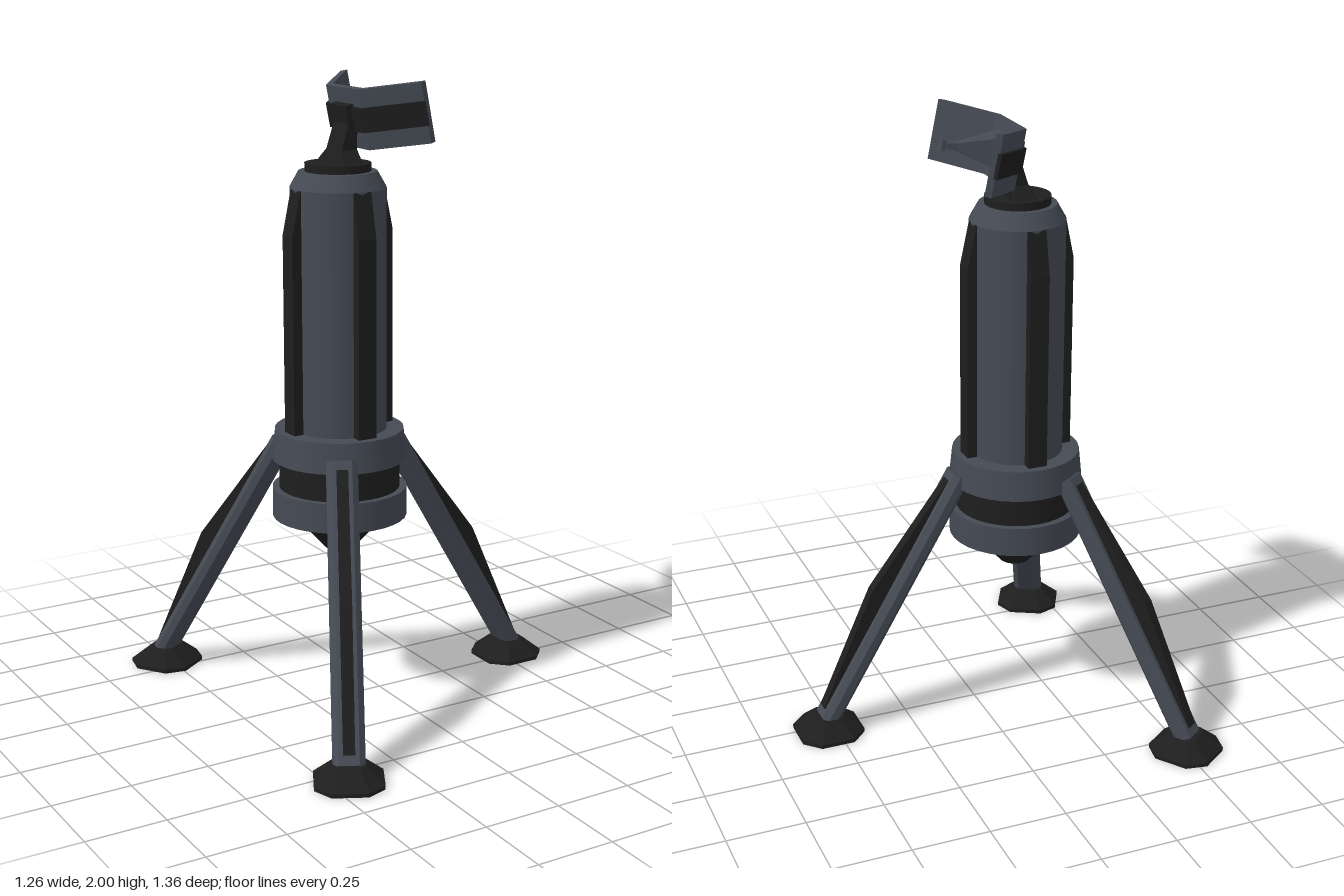
import * as THREE from 'three';

const slate = new THREE.MeshStandardMaterial({ color: 0x454a54 });
const dark = new THREE.MeshStandardMaterial({ color: 0x1e1e1e });

function add(parent, name, geometry, material) {
  const mesh = new THREE.Mesh(geometry, material);
  mesh.name = name;
  parent.add(mesh);
  return mesh;
}

// Chamfered rectangle around the y axis, counterclockwise from above
function ring(y, hx, hz, c, x0 = 0) {
  return [[hx, c - hz], [hx - c, -hz], [c - hx, -hz], [-hx, c - hz],
    [-hx, hz - c], [c - hx, hz], [hx - c, hz], [hx, hz - c]]
    .map(([x, z]) => [x + x0, y, z]);
}

// Faceted solid through a stack of rings, closed at both ends
function loft(rings) {
  const pos = [];
  const tri = (a, b, c) => pos.push(...a, ...b, ...c);
  const n = rings[0].length;
  for (let k = 0; k + 1 < rings.length; k++) {
    for (let i = 0; i < n; i++) {
      const j = (i + 1) % n, lo = rings[k], hi = rings[k + 1];
      tri(lo[i], lo[j], hi[j]);
      tri(lo[i], hi[j], hi[i]);
    }
  }
  const first = rings[0], last = rings[rings.length - 1];
  for (let i = 1; i + 1 < n; i++) {
    tri(first[0], first[i + 1], first[i]);
    tri(last[0], last[i], last[i + 1]);
  }
  const g = new THREE.BufferGeometry();
  g.setAttribute('position', new THREE.Float32BufferAttribute(pos, 3));
  g.computeVertexNormals();
  return g;
}

// Outline extruded symmetrically about its own plane
function plate(points, depth) {
  const shape = new THREE.Shape(points.map(([x, y]) => new THREE.Vector2(x, y)));
  return new THREE.ExtrudeGeometry(shape, { depth, bevelEnabled: false }).translate(0, 0, -depth / 2);
}

function drum(parent, name, y0, y1, r0, r1, material) {
  const g = new THREE.CylinderGeometry(r1, r0, y1 - y0, 32).translate(0, (y0 + y1) / 2, 0);
  return add(parent, name, g, material);
}

function makeLeg(angle) {
  const leg = new THREE.Group();
  leg.name = 'leg';
  leg.rotation.y = THREE.MathUtils.degToRad(angle);
  const foot = add(leg, 'foot', loft([
    ring(0, 0.105, 0.105, 0.05), ring(0.012, 0.105, 0.105, 0.05), ring(0.062, 0.045, 0.05, 0.02),
  ]), dark);
  foot.position.x = 0.658;

  const strut = new THREE.Group();
  strut.name = 'strut';
  strut.position.set(0.662, 0.05, 0);
  strut.rotation.z = THREE.MathUtils.degToRad(30.3);
  add(strut, 'legBar', loft([ring(0, 0.03, 0.049, 0.018), ring(0.92, 0.03, 0.049, 0.018)]), slate);
  add(strut, 'legFin', plate([[0, 0.03], [0.035, 0.03], [0.083, 0.46], [0.032, 0.89], [0, 0.89]], 0.036), dark);
  leg.add(strut);
  return leg;
}

// Bent band seen from above: half outline mirrored across z
function band(half, height) {
  const outline = [...half, ...half.slice().reverse().map(([x, z]) => [x, -z])];
  return plate(outline, height).rotateX(Math.PI / 2);
}

function makeDish() {
  const dish = new THREE.Group();
  dish.name = 'dish';
  dish.position.set(0.035, 1.88, 0);
  dish.rotation.z = 0.2;
  // Centre panel with two wings swept forward
  add(dish, 'dishPanels', band([[0.02, 0.092], [0.155, 0.232], [0.135, 0.24], [0, 0.1]], 0.187), slate);
  add(dish, 'dishBackStrip', band([[0.005, 0.1], [0.14, 0.238], [0.133, 0.25], [-0.01, 0.104]], 0.075), dark);
  add(dish, 'dishHub', new THREE.BoxGeometry(0.03, 0.09, 0.1).translate(-0.012, 0, 0), dark);
  // Feed horn pointing out of the dish
  const horn = loft([ring(0.015, 0.058, 0.055, 0.001), ring(0.17, 0.012, 0.012, 0.001), ring(0.21, 0.007, 0.007, 0.001)]);
  add(dish, 'feedHorn', horn.rotateZ(-Math.PI / 2), slate);
  add(dish, 'feedTip', new THREE.BoxGeometry(0.012, 0.032, 0.03).translate(0.215, 0, 0), slate);
  return dish;
}

export function createModel() {
  const model = new THREE.Group();
  model.name = 'tripodBeacon';
  const core = new THREE.Group();
  core.name = 'core';
  core.position.set(-0.133, 0, -0.025);
  model.add(core);

  // Base hub
  drum(core, 'bottomCone', 0.51, 0.63, 0.05, 0.155, dark);
  drum(core, 'lowerCollar', 0.62, 0.715, 0.214, 0.214, slate);
  drum(core, 'hubBand', 0.71, 0.815, 0.192, 0.192, dark);
  drum(core, 'upperCollar', 0.81, 0.907, 0.214, 0.204, slate);

  // Main column and cap
  drum(core, 'column', 0.9, 1.67, 0.15, 0.15, slate);
  drum(core, 'shoulder', 1.67, 1.72, 0.15, 0.122, slate);
  drum(core, 'turntable', 1.72, 1.745, 0.103, 0.103, dark);

  // Four ribs down the column
  const rib = plate([[0.13, 0.9], [0.178, 0.9], [0.178, 1.53], [0.148, 1.67], [0.13, 1.67]], 0.062);
  for (let i = 0; i < 4; i++) {
    add(core, 'columnRib', rib, dark).rotation.y = i * Math.PI / 2;
  }

  for (const angle of [0, 124.8, -117.7]) core.add(makeLeg(angle));

  // Slanted neck carrying the dish
  add(core, 'neck', loft([
    ring(1.74, 0.038, 0.086, 0.004, 0.006), ring(1.785, 0.03, 0.046, 0.004, 0.014), ring(1.88, 0.015, 0.045, 0.004, 0.03),
  ]), dark);
  core.add(makeDish());
  return model;
}
